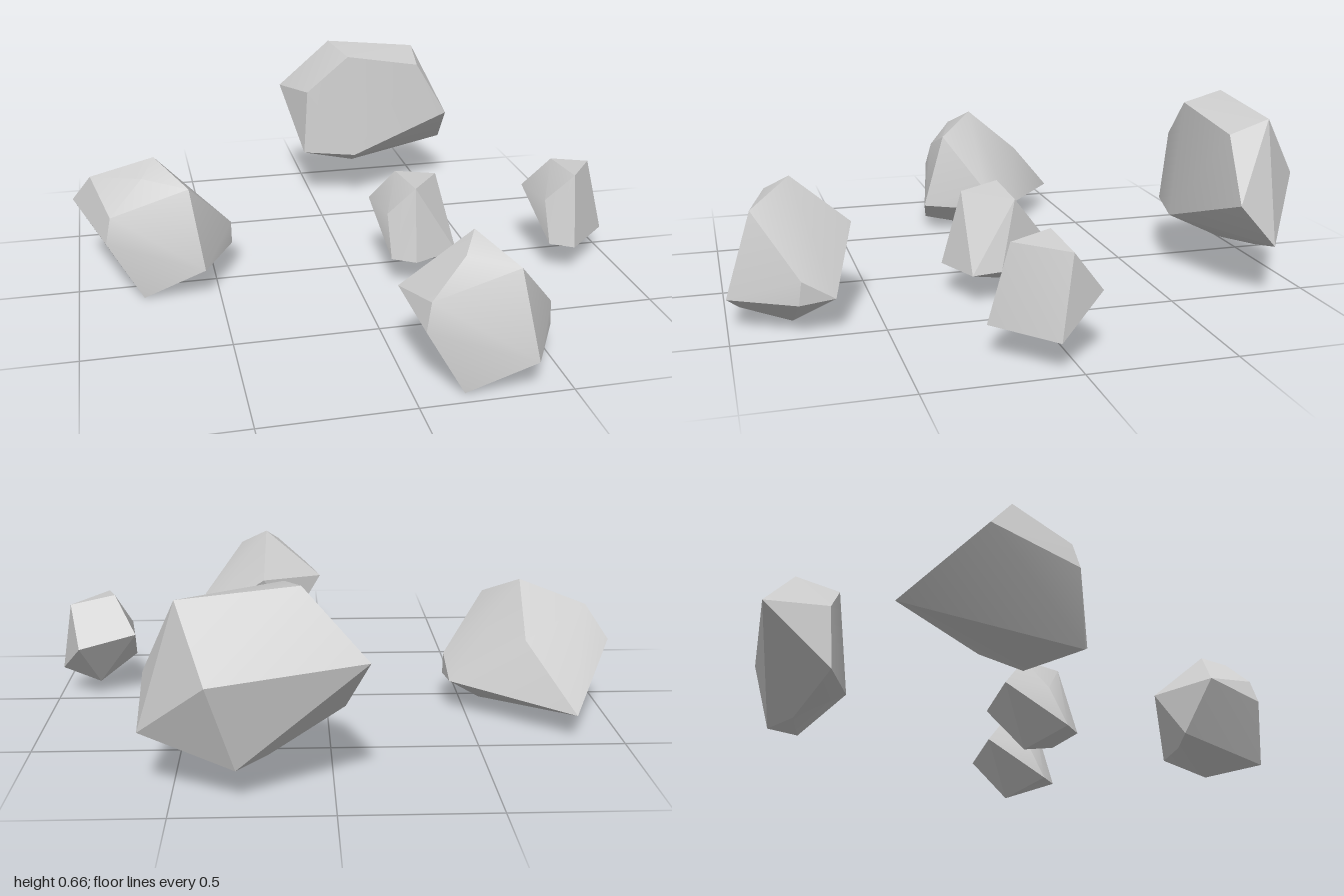
import * as THREE from 'three';
import { ConvexGeometry } from 'three/addons/geometries/ConvexGeometry.js';
import { toCreasedNormals } from 'three/addons/utils/BufferGeometryUtils.js';

const material = new THREE.MeshStandardMaterial({ color: 0xcccccc });

// A faceted stone: the hull of a few corner points, softened across shallow edges
function stone(name, corners, offset = [0, 0, 0]) {
  const points = corners.map(c => new THREE.Vector3(...c));
  const mesh = new THREE.Mesh(toCreasedNormals(new ConvexGeometry(points), 0.5), material);
  mesh.name = name;
  mesh.position.set(...offset);
  return mesh;
}

// Corners shared by the two medium stones
const medium = [
  [-0.77, 0, 0.10], [-0.57, 0.01, -0.06],
  [-0.55, 0.11, 0.15], [-0.89, 0.21, 0.07], [-0.87, 0.30, 0.05],
  [-0.75, 0.42, 0.0], [-0.59, 0.39, 0.06], [-0.70, 0.47, -0.08],
  [-0.43, 0.19, -0.08], [-0.43, 0.11, -0.07], [-0.44, 0.12, -0.19],
  [-0.69, 0.30, -0.28],
];
// Backs that tell the medium stones apart
const pointedBack = [[-0.93, 0.39, -0.14], [-1.0, 0.28, -0.21], [-0.84, 0.09, -0.47]];
const bluntBack = [[-0.93, 0.28, -0.12], [-0.81, 0.10, -0.20], [-0.70, 0.08, -0.20]];

// Corners shared by the two small stones
const small = [
  [0.85, 0.05, 0.05], [0.73, 0.11, 0.20], [0.81, 0.11, 0.25],
  [0.70, 0.26, -0.04], [0.73, 0.26, 0.13], [0.78, 0.39, 0.04],
  [0.82, 0.37, 0.18], [0.94, 0.36, 0.02], [0.90, 0.22, -0.09],
  [0.99, 0.10, 0.07],
];
const smallWide = [...small.slice(0, -1), [0.99, 0.12, 0.08], [0.98, 0.11, 0.18]];

// Large stone at the back
const large = [
  [-0.10, 0.45, -0.94], [0.10, 0.66, -0.85], [0.15, 0.63, -0.68],
  [0.47, 0.62, -0.85], [0.46, 0.57, -0.71], [0.59, 0.35, -0.70],
  [0.60, 0.20, -0.83], [-0.04, 0.22, -0.68], [-0.02, 0.48, -0.70],
  [0.17, 0.21, -0.63], [0.38, 0.40, -1.0], [0.30, 0.11, -0.92], [0.20, 0.12, -0.82],
];

export function createModel() {
  const group = new THREE.Group();
  group.name = 'scatteredStones';
  group.add(
    stone('pointedStone', [...medium, ...pointedBack]),
    stone('frontStone', [...medium, ...bluntBack], [0.93, 0, 0.85]),
    stone('rightSmallStone', small),
    stone('middleSmallStone', smallWide, [-0.61, 0, 0]),
    stone('largeStone', large),
  );
  return group;
}
